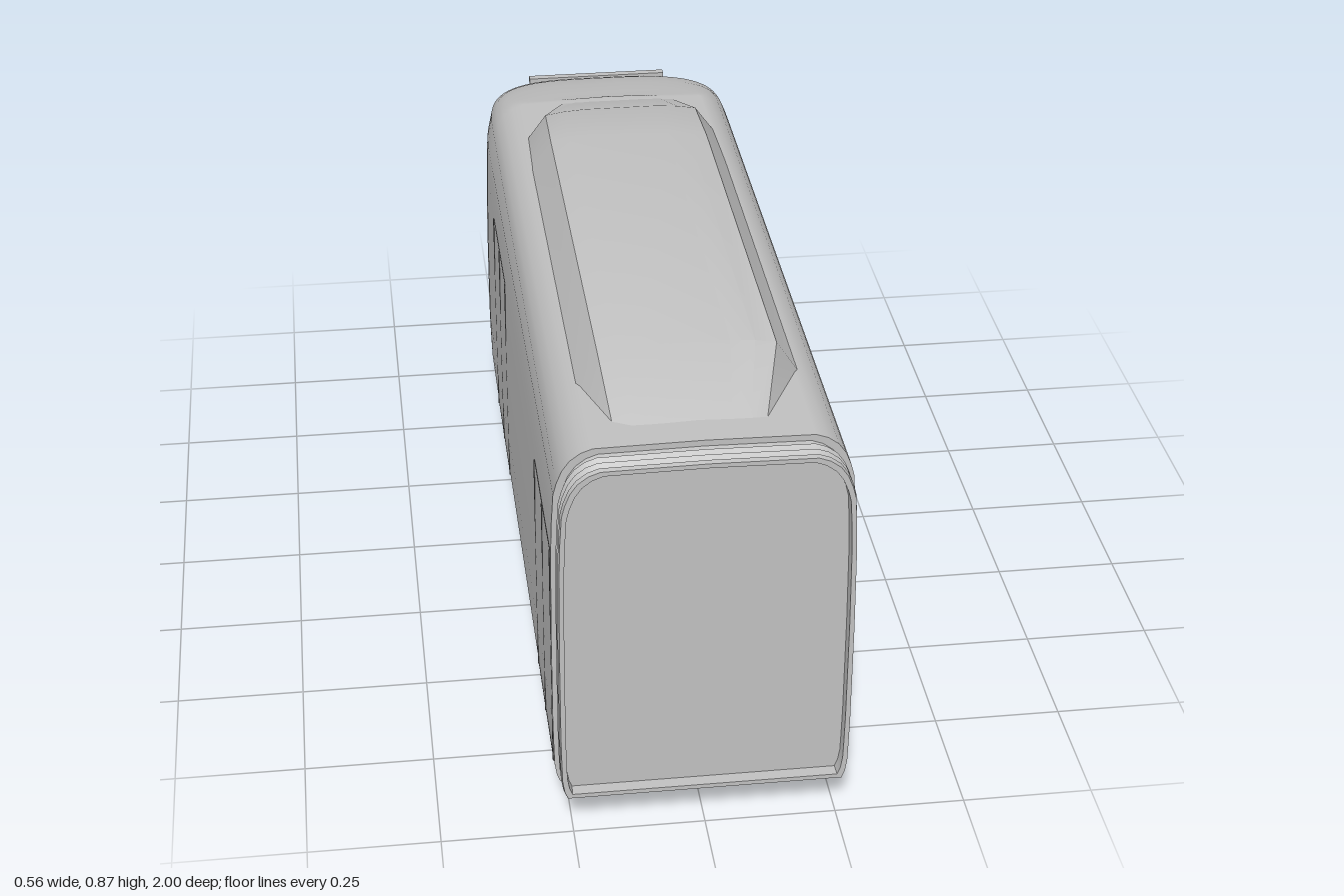
import * as THREE from 'three';
import { toCreasedNormals } from 'three/addons/utils/BufferGeometryUtils.js';

const REAR = 0.935, BEND = -0.53, RAD = Math.PI / 180;

// Body slices from sill to roof: height, half width, z of the nose tip
const SLICES = [
  [0.07, 0.268, -0.9], [0.085, 0.274, -0.935], [0.11, 0.278, -0.962], [0.15, 0.279, -0.986],
  [0.21, 0.28, -1], [0.25, 0.28, -0.997], [0.33, 0.28, -0.988], [0.42, 0.28, -0.971],
  [0.51, 0.279, -0.946], [0.59, 0.278, -0.918], [0.65, 0.276, -0.894], [0.712, 0.272, -0.862],
  [0.735, 0.266, -0.815], [0.76, 0.256, -0.755], [0.78, 0.242, -0.68], [0.795, 0.222, -0.6],
  [0.803, 0.2, -0.55], [0.806, 0, -0.55],
];
const GLASS_BOTTOM = 5, GLASS_TOP = 11;

// Skin over rows of points; cells picked by isSecond go to the second material
function skin(rows, isSecond = () => false) {
  const n = rows[0].length, first = [], second = [];
  for (let i = 0; i < rows.length - 1; i++) {
    for (let j = 0; j < n - 1; j++) {
      const a = i * n + j, b = a + 1, c = b + n, d = a + n;
      (isSecond(i, j) ? second : first).push(a, b, c, a, c, d);
    }
  }
  const geo = new THREE.BufferGeometry();
  geo.setAttribute('position', new THREE.Float32BufferAttribute(rows.flat(2), 3));
  geo.setIndex([...first, ...second]);
  if (second.length) {
    geo.addGroup(0, first.length, 0);
    geo.addGroup(first.length, second.length, 1);
  }
  geo.computeVertexNormals();
  return geo;
}

// Point on the rounded nose; angle 0 is the left side, 90 the tip, 180 the right side
function nosePoint([y, w, tip], deg) {
  const c = Math.cos(deg * RAD), s = Math.max(0, Math.sin(deg * RAD));
  const x = deg === 90 ? 0 : w * Math.sign(c) * Math.abs(c) ** 0.588;
  return [x, y, BEND + (tip - BEND) * s ** 0.588];
}

// One horizontal slice: straight sides and the nose
function slicePoints(slice, i) {
  const pts = [[slice[1], slice[0], REAR]];
  for (let deg = 0; deg <= 180; deg += 5) {
    let s = slice;
    if (i === GLASS_TOP) { // windscreen top edge drops toward the sides
      const drop = 0.65 * Math.max(0, 1 - (Math.min(deg, 180 - deg) - 20) / 25);
      s = slice.map((v, k) => THREE.MathUtils.lerp(v, SLICES[i - 1][k], Math.min(drop, 0.65)));
    }
    pts.push(nosePoint(s, deg));
  }
  pts.push([-slice[1], slice[0], REAR]);
  return pts;
}

// Body cross-section, inset by a margin
function section(inset) {
  const half = SLICES.map(([y, w]) => [w * (1 - inset / 0.28), 0.4375 + (y - 0.4375) * (1 - inset / 0.37)]);
  return [...half, ...half.slice(0, -1).reverse().map(([x, y]) => [-x, y])];
}

function endPlate(inset) {
  return new THREE.ShapeGeometry(new THREE.Shape(section(inset).map(([x, y]) => new THREE.Vector2(x, y))));
}

export function createModel() {
  const model = new THREE.Group();
  const paint = new THREE.MeshStandardMaterial({ color: 0xc0c0c0 });
  paint.name = 'light grey paint';
  const glass = new THREE.MeshStandardMaterial({ color: 0x3d474f });
  glass.name = 'dark glass';
  const seam = new THREE.MeshStandardMaterial({ color: 0x606060 });
  seam.name = 'seam grey';

  const add = (name, geo, mat, x = 0, y = 0, z = 0) => {
    const mesh = new THREE.Mesh(geo, mat);
    mesh.name = name;
    mesh.position.set(x, y, z);
    model.add(mesh);
    return mesh;
  };

  // Body shell with the wraparound windscreen (columns 20 to 160 degrees)
  add('bodyShell', skin(SLICES.map(slicePoints),
    (i, j) => i >= GLASS_BOTTOM && i < GLASS_TOP && j >= 5 && j < 33), [paint, glass]);

  // Flat floor
  const sill = SLICES[0];
  add('floor', skin([slicePoints([sill[0], 0, sill[2]], 0), slicePoints(sill, 0)]), paint);

  // Gangway end: rear wall, folded bellows and recessed panel
  add('rearWall', endPlate(0), paint, 0, 0, REAR);
  const folds = [[REAR, 0.012], [0.945, 0.014], [0.954, 0.007], [0.963, 0.014], [0.972, 0.007],
    [0.981, 0.014], [0.99, 0.007], [1, 0.009], [1, 0.018], [0.975, 0.019]];
  const rings = folds.map(([z, inset]) => {
    const pts = section(inset).map(([x, y]) => [x, y, z]);
    return [...pts, pts[0]];
  });
  add('bellows', toCreasedNormals(skin(rings), 0.5), paint);
  add('gangwayPanel', endPlate(0.018), paint, 0, 0, 0.976);

  // Roof pod: z, half width, top height
  const stations = [[-0.55, 0.13, 0.797], [-0.36, 0.207, 0.864], [-0.2, 0.21, 0.873],
    [0.7, 0.21, 0.873], [0.87, 0.155, 0.804]];
  const podRows = stations.map(([z, w, top]) => {
    const h = top - 0.795;
    const half = [[w, 0.795], [w * 0.79, 0.795 + h * 0.86], [w * 0.6, 0.795 + h * 0.95], [w * 0.38, top]];
    return [...half.map(([x, y]) => [x, y, z]), ...half.reverse().map(([x, y]) => [-x, y, z])];
  });
  add('roofPod', toCreasedNormals(skin(podRows), 0.4), paint);

  // Bar above the windscreen
  add('windscreenBar', new THREE.BoxGeometry(0.315, 0.014, 0.018), paint, 0, 0.716, -0.86);

  // Wheels with inner flanges, and axles
  for (const z of [0.47, 0.045]) {
    add('axle', new THREE.BoxGeometry(0.34, 0.012, 0.012), paint, 0, 0.067, z);
    for (const side of [1, -1]) {
      const tread = add('wheel', new THREE.CylinderGeometry(0.06, 0.064, 0.022, 32), paint, side * 0.179, 0.07, z);
      const flange = add('wheelFlange', new THREE.CylinderGeometry(0.07, 0.07, 0.006, 32), paint, side * 0.169, 0.07, z);
      tread.rotation.z = -side * Math.PI / 2;
      flange.rotation.z = -side * Math.PI / 2;
    }
  }

  for (const side of [1, -1]) {
    // Double doors drawn by thin seams
    for (const z of [0.765, -0.255]) {
      for (const dz of [-0.155, 0, 0.155]) {
        add('doorSeam', new THREE.BoxGeometry(0.004, 0.475, 0.004), seam, side * 0.2784, 0.3475, z + dz);
      }
      for (const y of [0.11, 0.585]) {
        add('doorEdge', new THREE.BoxGeometry(0.004, 0.004, 0.31), seam, side * 0.2768, y, z);
      }
    }
    // Headlight rims
    for (const [deg, r] of [[64, 0.019], [74, 0.005]]) {
      const d = side > 0 ? deg : 180 - deg;
      const low = new THREE.Vector3(...nosePoint(SLICES[3], d));
      const p = low.clone().lerp(new THREE.Vector3(...nosePoint(SLICES[4], d)), 0.5);
      const along = new THREE.Vector3(...nosePoint(SLICES[3], d + 3)).sub(new THREE.Vector3(...nosePoint(SLICES[3], d - 3)));
      const normal = along.cross(p.clone().sub(low)).normalize();
      const rim = add('headlightRim', new THREE.TorusGeometry(r, 0.002, 8, 28), paint, p.x, p.y, p.z);
      rim.quaternion.setFromUnitVectors(new THREE.Vector3(0, 0, 1), normal);
    }
  }
  return model;
}
